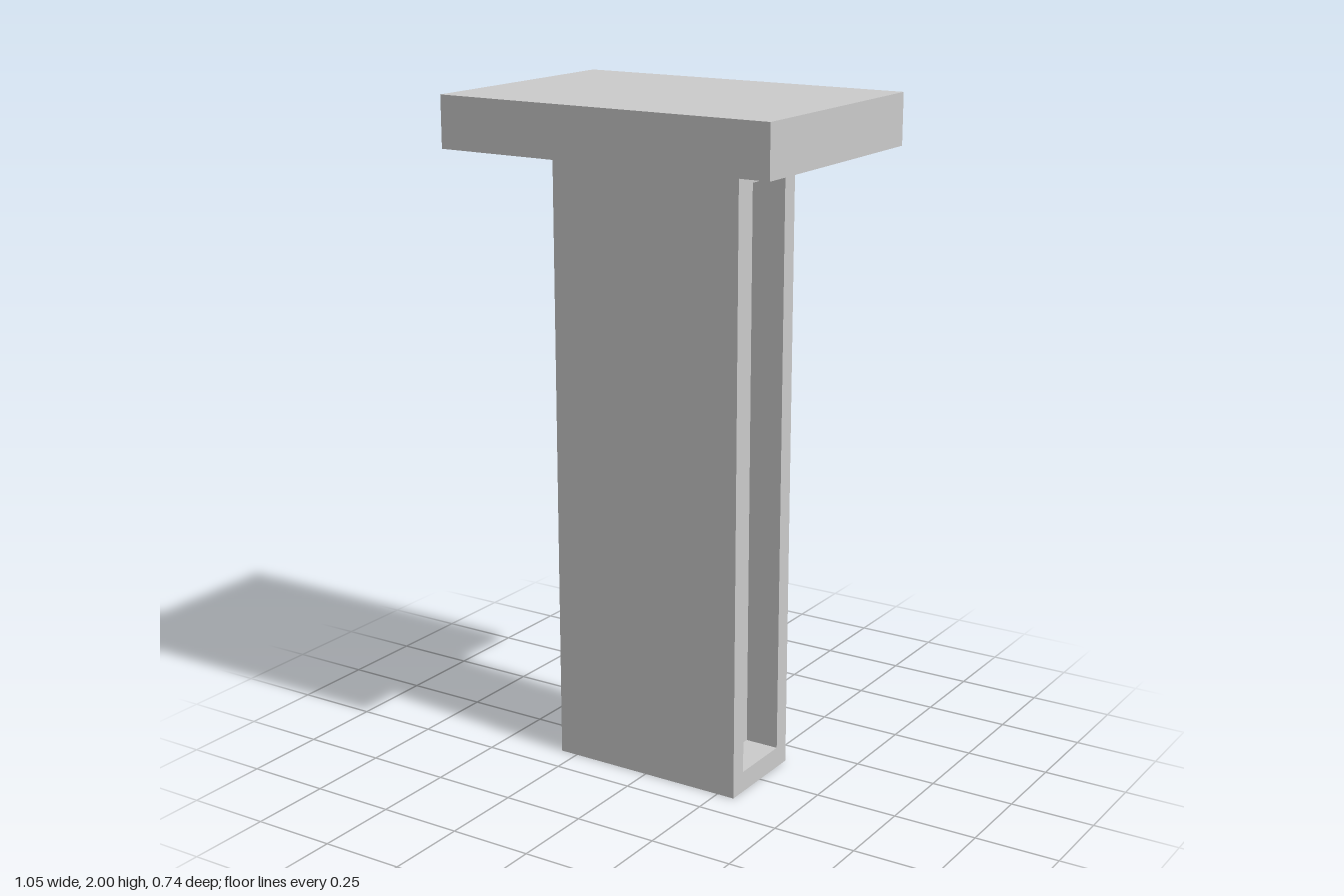
import * as THREE from 'three';

const SLAB = { w: 1.05, h: 0.15, d: 0.74 };
const COLUMN = { w: 0.61, h: 1.85, d: 0.305 };
const RECESS = { bottom: 0.063, top: 1.788, d: 0.197, depth: 0.104 };

// Rectangle as a closed list of corners, centred on x = 0
function rectangle(width, y0, y1) {
  const h = width / 2;
  return [[-h, y0], [h, y0], [h, y1], [-h, y1]].map(([x, y]) => new THREE.Vector2(x, y));
}

export function createModel() {
  const model = new THREE.Group();
  const material = new THREE.MeshStandardMaterial({ color: 0xcccccc, flatShading: true });

  const add = (name, geometry, parent = model) => {
    const mesh = new THREE.Mesh(geometry, material);
    mesh.name = name;
    parent.add(mesh);
    return mesh;
  };

  // Top slab
  add('topSlab', new THREE.BoxGeometry(SLAB.w, SLAB.h, SLAB.d))
    .position.y = COLUMN.h + SLAB.h / 2;

  const column = new THREE.Group();
  column.name = 'column';
  model.add(column);

  // Column body: side profile with the recess outline, swept along x
  const profile = new THREE.Shape(rectangle(COLUMN.d, 0, COLUMN.h));
  profile.holes.push(new THREE.Path(rectangle(RECESS.d, RECESS.bottom, RECESS.top)));
  const body = new THREE.ExtrudeGeometry(profile, { depth: COLUMN.w, bevelEnabled: false });
  body.translate(0, 0, -COLUMN.w / 2).rotateY(Math.PI / 2);
  add('columnBody', body, column);

  // Panels closing the recess on each side
  for (const [name, side] of [['leftRecessPanel', 1], ['rightRecessPanel', -1]]) {
    const panel = add(name, new THREE.PlaneGeometry(RECESS.d, RECESS.top - RECESS.bottom), column);
    panel.rotation.y = side * Math.PI / 2;
    panel.position.set(side * (COLUMN.w / 2 - RECESS.depth), (RECESS.top + RECESS.bottom) / 2, 0);
  }

  return model;
}
